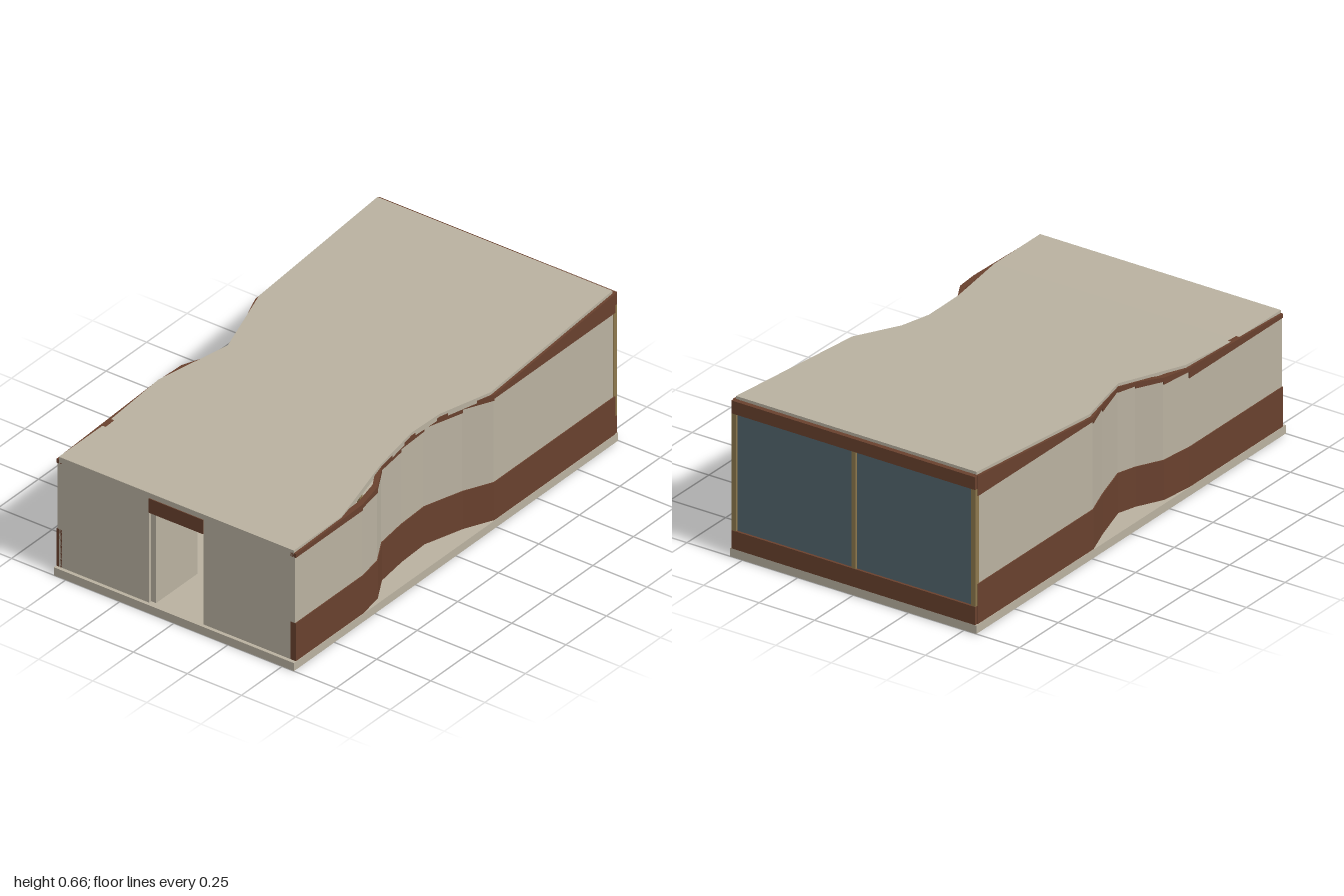
import * as THREE from 'three';
import { ConvexGeometry } from 'three/addons/geometries/ConvexGeometry.js';

const mat = (name, color) => new THREE.MeshStandardMaterial({ name, color });

export function createModel() {
  const model = new THREE.Group();
  model.name = 'pavilion';
  const beige = mat('beige plaster', 0xb9b1a0);
  const brown = mat('brown wood', 0x69412e);
  const tan = mat('tan timber', 0x8d784d);
  const glass = mat('blue grey glass', 0x53656e);

  const add = (name, geometry, material, parent = model) => {
    const mesh = new THREE.Mesh(geometry, material);
    mesh.name = name;
    parent.add(mesh);
    return mesh;
  };
  // Box given by its limits on each axis
  const box = (name, material, x0, x1, y0, y1, z0, z1, parent) => {
    const g = new THREE.BoxGeometry(x1 - x0, y1 - y0, z1 - z0);
    g.translate((x0 + x1) / 2, (y0 + y1) / 2, (z0 + z1) / 2);
    return add(name, g, material, parent);
  };

  const CREASE = 0.69;
  const roofTop = z => 0.515 + Math.max(0, CREASE - z) * 0.087;

  // Ground slab
  box('baseSlab', beige, -0.555, 0.555, 0, 0.035, -1, 1);

  // Roof: level front strip, then a sloping sheet with a waist on each side
  box('roofFront', beige, -0.543, 0.543, 0.492, 0.515, CREASE, 0.985);
  const outline = [
    [0.543, 0.69], [0.47, 0.35], [0.447, 0.13], [0.465, -0.02], [0.543, -0.23], [0.543, -0.98],
    [-0.543, -0.98], [-0.543, -0.25], [-0.5, -0.1], [-0.455, 0.06], [-0.475, 0.13], [-0.543, 0.37], [-0.543, 0.69],
  ];
  const roofShape = new THREE.Shape(outline.map(([x, z]) => new THREE.Vector2(x, -z)));
  const roof = new THREE.ExtrudeGeometry(roofShape, { depth: 0.023, bevelEnabled: false });
  roof.rotateX(-Math.PI / 2);
  const pos = roof.attributes.position;
  for (let i = 0; i < pos.count; i++) {
    pos.setY(i, pos.getY(i) + roofTop(pos.getZ(i)) - 0.023);
  }
  roof.computeVertexNormals();
  add('roofSlope', roof, beige);

  // Side walls: plan points [x, z], one upright panel between each pair
  const prism = (side, a, b, out, y0, topA, topB) => {
    const pts = [];
    for (const [p, top] of [[a, topA], [b, topB]]) {
      for (const x of [p[0] + out, p[0] - 0.02]) {
        pts.push(new THREE.Vector3(side * x, y0, p[1]), new THREE.Vector3(side * x, top, p[1]));
      }
    }
    return new ConvexGeometry(pts);
  };
  const plans = {
    left: [[0.549, 0.985], [0.549, 0.57], [0.53, 0.455], [0.467, 0.345], [0.449, 0.2], [0.443, 0.05],
      [0.493, -0.12], [0.549, -0.24], [0.549, -0.985]],
    right: [[0.549, 0.985], [0.549, 0.38], [0.532, 0.24], [0.478, 0.135], [0.455, 0.055],
      [0.505, -0.115], [0.549, -0.24], [0.549, -0.985]],
  };
  for (const [label, plan] of Object.entries(plans)) {
    const side = label === 'left' ? 1 : -1;
    const wall = new THREE.Group();
    wall.name = label + 'Wall';
    model.add(wall);
    for (let i = 0; i < plan.length - 1; i++) {
      const a = plan[i], b = plan[i + 1];
      // The plaster stops level on each panel, the fascia fills up to the roof
      const step = i === plan.length - 2 ? 0.565 : roofTop(a[1]) - 0.029;
      const topA = roofTop(a[1]) - 0.012, topB = roofTop(b[1]) - 0.012;
      add('wallBase', prism(side, a, b, 0.004, 0.035, 0.2, 0.2), brown, wall);
      add('wallPlaster', prism(side, a, b, 0, 0.2, step, step), beige, wall);
      add('wallFascia', prism(side, a, b, 0.004, step, topA, topB), brown, wall);
    }
  }

  // Front wall with doorway, lintel and the door standing open inwards
  for (const s of [-1, 1]) {
    box('frontWall', beige, Math.min(s * 0.125, s * 0.543), Math.max(s * 0.125, s * 0.543), 0.035, 0.493, 0.962, 0.985);
  }
  box('doorLintel', brown, -0.125, 0.125, 0.43, 0.492, 0.965, 0.988);
  box('openDoor', beige, -0.125, -0.101, 0.037, 0.43, 0.72, 0.975);

  // Glazed back wall
  const back = new THREE.Group();
  back.name = 'backWindow';
  model.add(back);
  box('windowSill', brown, -0.55, 0.55, 0.035, 0.11, -1, -0.975, back);
  box('windowHeader', brown, -0.55, 0.55, 0.595, 0.648, -1, -0.975, back);
  box('windowGlass', glass, -0.54, 0.54, 0.11, 0.595, -0.99, -0.982, back);
  for (const x of [-0.54, 0, 0.54]) {
    box('windowMullion', tan, x - 0.01, x + 0.01, 0.11, 0.595, -0.998, -0.976, back);
  }

  // Table inside
  const table = new THREE.Group();
  table.name = 'table';
  model.add(table);
  box('tableTop', brown, -0.36, 0.11, 0.15, 0.16, -0.3, 0, table);
  box('tableRail', brown, -0.34, -0.055, 0.143, 0.15, -0.28, -0.02, table);
  box('tableSupport', beige, -0.3, -0.08, 0.035, 0.143, -0.26, -0.04, table);
  for (const z of [-0.28, -0.02]) {
    box('tableLeg', tan, 0.087, 0.102, 0.035, 0.15, z - 0.008, z + 0.008, table);
  }
  return model;
}
